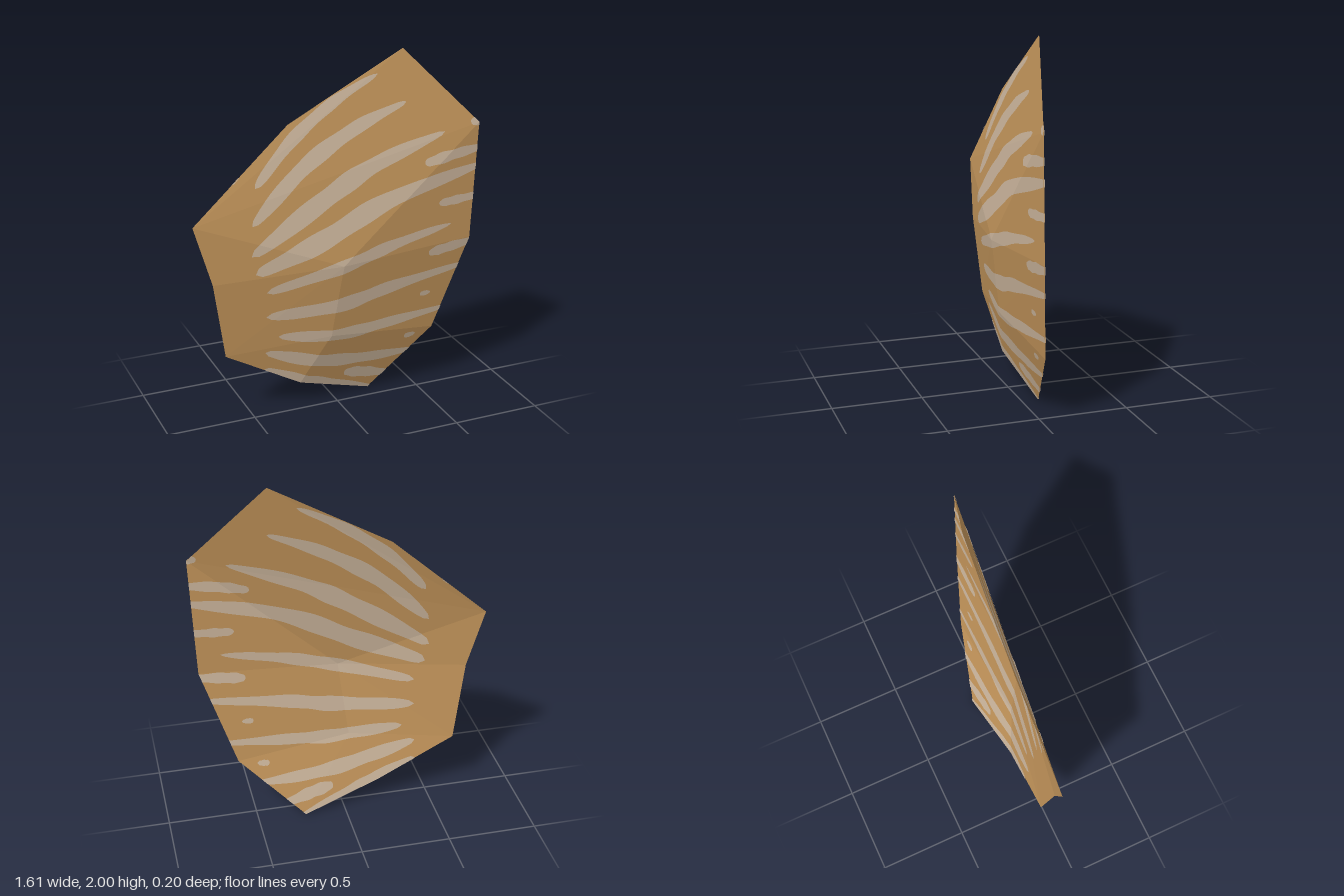
import * as THREE from 'three';

// Corners of the faceted sheet: rim first, then two inner ridge points
const P = {
  A: [0.39, 2.0, -0.03], B: [0.8, 1.58, 0.095], C: [0.775, 0.91, 0.075], D: [0.59, 0.36, 0.0],
  E: [0.23, 0.0, -0.095], F: [-0.21, 0.14, -0.04], G: [-0.64, 0.375, -0.055], H: [-0.71, 0.82, -0.02],
  I: [-0.805, 1.155, -0.035], J: [-0.26, 1.645, -0.055], M: [-0.05, 0.43, 0.035], N: [0.0, 0.86, 0.095],
};
// Facets, counter-clockwise from the front
const FACETS = ['AJI', 'AIB', 'INB', 'IHN', 'HGN', 'GMN', 'NCB', 'NMC', 'MDC', 'MED', 'MFE', 'GFM']
  .map((f) => [...f].map((k) => P[k]));

// Stripes: widest width, then the centre line from tail to tip
const STRIPES = [
  [0.065, [-0.46, 1.33], [-0.25, 1.56], [0, 1.75], [0.24, 1.875]],
  [0.085, [-0.49, 1.13], [-0.2, 1.41], [0.1, 1.6], [0.39, 1.72]],
  [0.105, [-0.5, 0.965], [-0.1, 1.23], [0.2, 1.4], [0.6, 1.545]],
  [0.11, [-0.48, 0.86], [-0.1, 1.02], [0.3, 1.21], [0.88, 1.35]],
  [0.075, [-0.42, 0.745], [0, 0.855], [0.3, 0.94], [0.65, 1.01]],
  [0.085, [-0.42, 0.595], [0, 0.62], [0.3, 0.68], [0.78, 0.75]],
  [0.075, [-0.35, 0.465], [0, 0.43], [0.3, 0.45], [0.7, 0.485]],
  [0.08, [-0.42, 0.37], [-0.1, 0.27], [0.2, 0.23], [0.54, 0.22]],
  [0.07, [0.06, 0.15], [0.2, 0.12], [0.38, 0.07]],
  [0.07, [-0.42, 0.26], [-0.2, 0.155], [0, 0.085], [0.3, -0.02]],
  [0.06, [0.48, 1.38], [0.65, 1.415], [0.9, 1.45]],
  [0.05, [0.57, 1.14], [0.7, 1.15], [0.88, 1.165]],
  [0.06, [0.52, 0.85], [0.65, 0.87], [0.9, 0.9]],
  [0.03, [0.49, 0.593], [0.555, 0.597]],
  [0.033, [0.415, 0.327], [0.485, 0.335]],
  [0.04, [0.75, 1.592], [0.83, 1.575]],
  [0.02, [-0.59, 1.36], [-0.54, 1.4]],
];

// Keep the part of a polygon left of the line a-b
function clip(poly, a, b) {
  const side = (p) => (b[0] - a[0]) * (p[1] - a[1]) - (b[1] - a[1]) * (p[0] - a[0]);
  const out = [];
  poly.forEach((p, i) => {
    const q = poly[(i + 1) % poly.length], s = side(p), t = side(q);
    if (s >= 0) out.push(p);
    if (s * t < 0) {
      const k = s / (s - t);
      out.push([p[0] + (q[0] - p[0]) * k, p[1] + (q[1] - p[1]) * k]);
    }
  });
  return out;
}

// Depth of a facet's plane at x, y
function depth([a, b, c], [x, y]) {
  const d = (b[0] - a[0]) * (c[1] - a[1]) - (c[0] - a[0]) * (b[1] - a[1]);
  const u = ((x - a[0]) * (c[1] - a[1]) - (c[0] - a[0]) * (y - a[1])) / d;
  const v = ((b[0] - a[0]) * (y - a[1]) - (x - a[0]) * (b[1] - a[1])) / d;
  return a[2] + u * (b[2] - a[2]) + v * (c[2] - a[2]);
}

// A stripe as a row of flat quads, rounded at the tail and tapering to the tip
function stripeQuads([width, ...pts]) {
  const curve = new THREE.SplineCurve(pts.map((p) => new THREE.Vector2(...p)));
  const n = pts.length > 2 ? 28 : 8;
  const rows = [];
  for (let i = 0; i <= n; i++) {
    const t = i / n, c = curve.getPoint(t), g = curve.getTangent(t);
    const wave = 1 + 0.08 * Math.sin(t * 23 + pts[0][1] * 9);
    const h = 0.5 * width * wave * Math.pow(Math.max(0, Math.sin(Math.PI * Math.pow(t, 0.75))), 0.6) + 0.001;
    rows.push([[c.x + g.y * h, c.y - g.x * h], [c.x - g.y * h, c.y + g.x * h]]);
  }
  return rows.slice(1).map((r, i) => [rows[i][0], r[0], r[1], rows[i][1]]);
}

function flatGeometry(positions) {
  const geo = new THREE.BufferGeometry();
  geo.setAttribute('position', new THREE.Float32BufferAttribute(positions, 3));
  geo.computeVertexNormals();
  return geo;
}

// Lay a stripe over the facets, cutting it at every fold and at the rim
function stripeGeometry(stripe, offset) {
  const pos = [];
  for (const quad of stripeQuads(stripe)) {
    for (const f of FACETS) {
      let poly = quad;
      for (let i = 0; i < 3 && poly.length; i++) poly = clip(poly, f[i], f[(i + 1) % 3]);
      for (let i = 1; i + 1 < poly.length; i++) {
        for (const p of [poly[0], poly[i], poly[i + 1]]) pos.push(p[0], p[1], depth(f, p) + offset);
      }
    }
  }
  return flatGeometry(pos);
}

export function createModel() {
  const model = new THREE.Group();
  model.name = 'stripedShell';
  const tan = new THREE.MeshStandardMaterial({ color: 0xc2945a, side: THREE.DoubleSide, flatShading: true });
  tan.name = 'tan';
  const cream = new THREE.MeshStandardMaterial({ color: 0xcbb59c, side: THREE.DoubleSide, flatShading: true });
  cream.name = 'paleStripe';

  // Folded sheet
  const sheet = new THREE.Mesh(flatGeometry(FACETS.flat(2)), tan);
  sheet.name = 'shellSheet';
  model.add(sheet);

  // Stripes on both faces
  for (const [name, offset] of [['frontStripes', 0.003], ['backStripes', -0.003]]) {
    const group = new THREE.Group();
    group.name = name;
    STRIPES.forEach((s, i) => {
      const mesh = new THREE.Mesh(stripeGeometry(s, offset), cream);
      mesh.name = `stripe${i + 1}`;
      group.add(mesh);
    });
    model.add(group);
  }
  return model;
}
